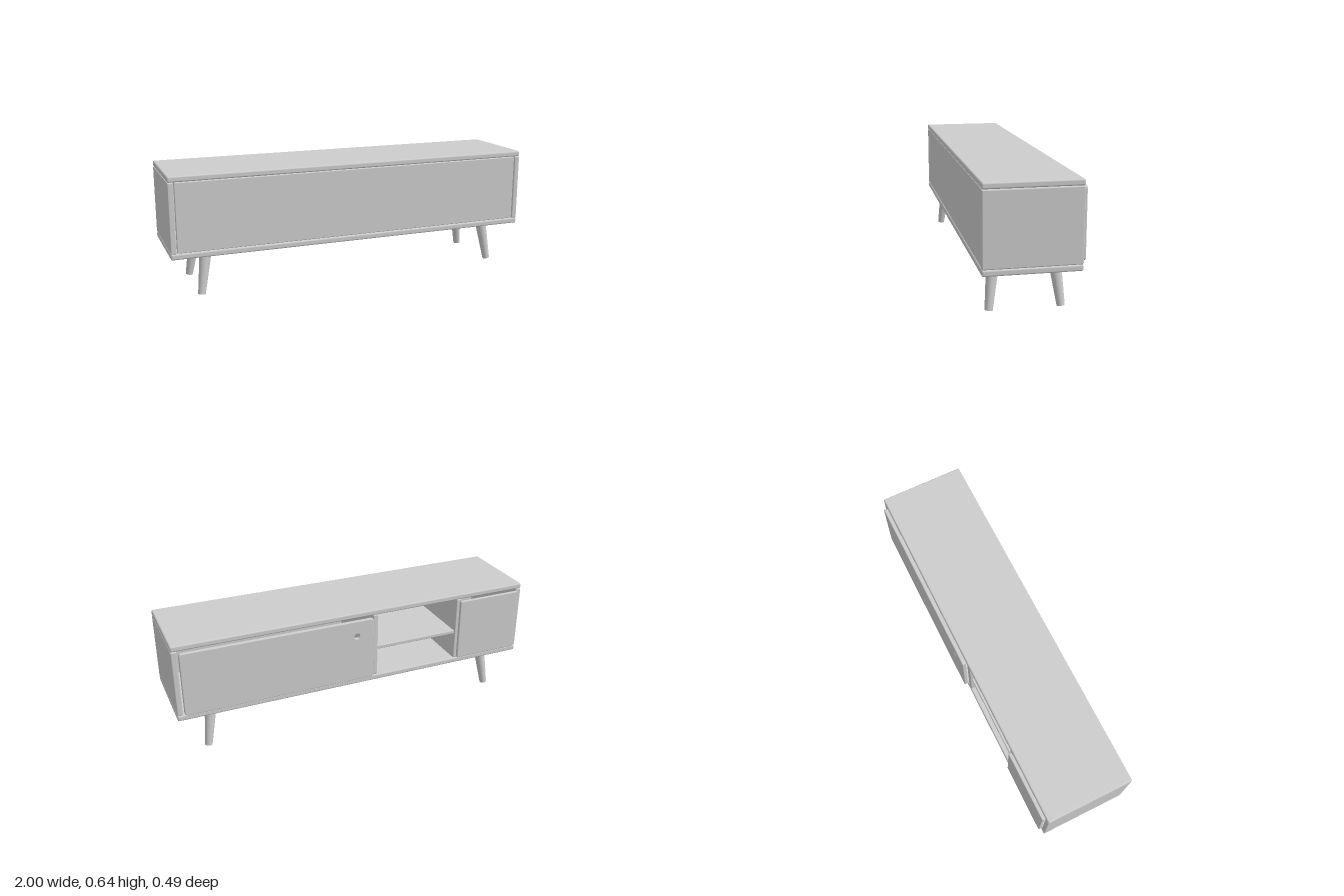
import * as THREE from 'three';
import { RoundedBoxGeometry } from 'three/addons/geometries/RoundedBoxGeometry.js';

export function createModel() {
  const group = new THREE.Group();
  group.name = 'mediaCabinet';
  const grey = new THREE.MeshStandardMaterial({ color: 0xcccccc });
  grey.name = 'lightGrey';

  const add = (name, geometry) => {
    const mesh = new THREE.Mesh(geometry, grey);
    mesh.name = name;
    group.add(mesh);
    return mesh;
  };

  // Board with softened edges, given by its extents on each axis
  const board = (name, [x0, x1], [y0, y1], [z0, z1], r = 0.006) => {
    const mesh = add(name, new RoundedBoxGeometry(x1 - x0, y1 - y0, z1 - z0, 3, r));
    mesh.position.set((x0 + x1) / 2, (y0 + y1) / 2, (z0 + z1) / 2);
  };

  // Carcass
  const depth = [-0.222, 0.245];
  const inner = [0.249, 0.611];
  board('topBoard', [-1, 1], [0.612, 0.642], depth, 0.008);
  board('bottomBoard', [-1, 1], [0.218, 0.248], depth, 0.008);
  board('leftSide', [0.97, 1], inner, depth);
  board('rightSide', [-1, -0.97], inner, depth);
  board('longPanel', [-0.967, 0.967], [0.25, 0.61], [0.222, 0.242], 0.004);

  // Open compartment
  board('leftDivider', [-0.108, -0.078], inner, [-0.22, 0.222]);
  board('rightDivider', [-0.615, -0.585], inner, [-0.22, 0.222]);
  board('shelf', [-0.586, -0.107], [0.4, 0.42], [-0.212, 0.222], 0.004);

  // Small door
  board('smallDoor', [-0.97, -0.6], [0.255, 0.605], [-0.24, -0.222]);

  // Large door with rounded corners and a finger hole
  const bevel = 0.005;
  const x0 = -0.072 + bevel, x1 = 0.965 - bevel, y0 = 0.255 + bevel, y1 = 0.605 - bevel, r = 0.01;
  const outline = new THREE.Shape();
  outline.absarc(x1 - r, y1 - r, r, 0, Math.PI / 2);
  outline.absarc(x0 + r, y1 - r, r, Math.PI / 2, Math.PI);
  outline.absarc(x0 + r, y0 + r, r, Math.PI, Math.PI * 1.5);
  outline.absarc(x1 - r, y0 + r, r, Math.PI * 1.5, Math.PI * 2);
  const hole = new THREE.Path();
  hole.absarc(0.025, 0.517, 0.019, 0, Math.PI * 2, true);
  outline.holes.push(hole);
  const door = add('largeDoor', new THREE.ExtrudeGeometry(outline, {
    depth: 0.011, bevelEnabled: true, bevelSize: bevel, bevelThickness: bevel,
    bevelSegments: 3, curveSegments: 16,
  }));
  door.position.z = -0.238;

  // Splayed tapered legs
  const up = new THREE.Vector3(0, 1, 0);
  for (const sx of [-1, 1]) {
    for (const sz of [-1, 1]) {
      const foot = new THREE.Vector3(sx * 0.845, 0.004, 0.0115 + sz * 0.174);
      const head = new THREE.Vector3(sx * 0.811, 0.225, 0.0115 + sz * 0.148);
      const axis = head.clone().sub(foot);
      const leg = add((sz > 0 ? 'front' : 'back') + (sx > 0 ? 'Left' : 'Right') + 'Leg',
        new THREE.CylinderGeometry(0.031, 0.0195, axis.length(), 32));
      leg.position.copy(foot).add(head).multiplyScalar(0.5);
      leg.quaternion.setFromUnitVectors(up, axis.normalize());
    }
  }
  return group;
}
